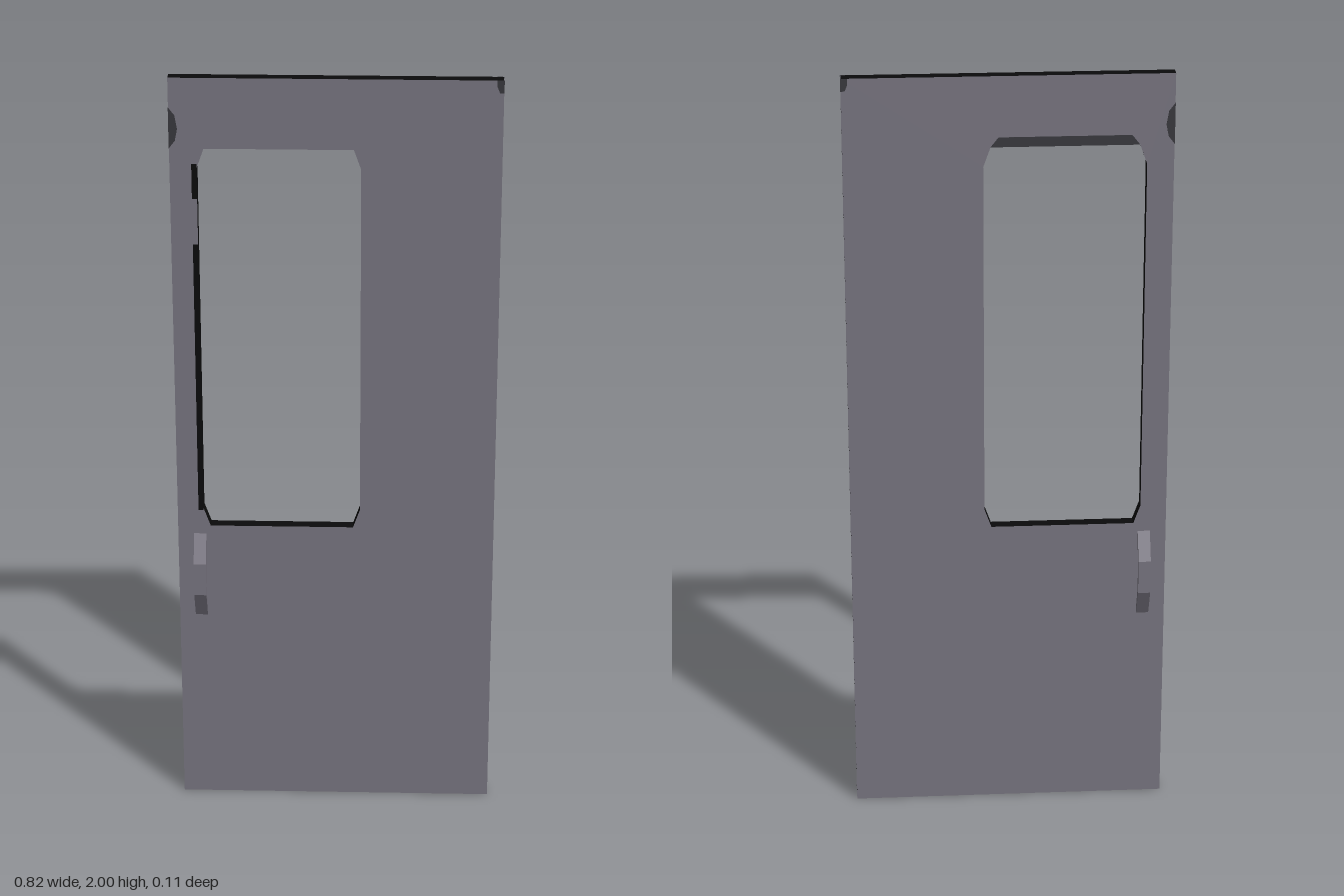
import * as THREE from 'three';

export function createModel() {
  const door = new THREE.Group();
  door.name = 'door';

  const mat = (name, color) => {
    const m = new THREE.MeshStandardMaterial({ color });
    m.name = name;
    return m;
  };
  const grey = mat('panel grey', 0x797681);
  const dark = mat('worn dark grey', 0x39393e);
  const black = mat('edge black', 0x0b0b0c);

  const FRONT = 0.015, BACK = -0.017, SKIN = 0.0008;
  const outline = (pts) => new THREE.Shape(pts.map(([x, y]) => new THREE.Vector2(x, y)));

  // Flat outline extruded between two depths
  const slab = (name, shape, z0, z1, material) => {
    const geo = new THREE.ExtrudeGeometry(shape, { depth: z1 - z0, bevelEnabled: false });
    geo.translate(0, 0, z0);
    const mesh = new THREE.Mesh(geo, material);
    mesh.name = name;
    door.add(mesh);
    return mesh;
  };
  const rect = (x0, x1, y0, y1) => outline([[x0, y0], [x1, y0], [x1, y1], [x0, y1]]);

  // Panel with a chamfered window opening; rim and reveal are black
  const panel = rect(-0.41, 0.409, 0, 2);
  const [l, r, b, t, cx, cy] = [-0.343, 0.063, 0.795, 1.82, 0.018, 0.05];
  panel.holes.push(outline([
    [l + cx, b], [l, b + cy], [l, t - cy], [l + cx, t],
    [r - cx, t], [r, t - cy], [r, b + cy], [r - cx, b],
  ]));
  slab('panel', panel, BACK, FRONT, [grey, black]);

  // Grey facing on the hinge edge
  slab('hingeEdge', rect(0.409, 0.41, 0, 2), -0.005, FRONT, grey);

  // Dark window trim on the front and back faces
  slab('windowTrimLower', rect(-0.356, l, 0.84, 1.57), FRONT, FRONT + SKIN, black);
  slab('windowTrimUpper', rect(-0.356, l, 1.69, 1.78), FRONT, FRONT + SKIN, black);
  slab('windowTrimBack', outline([[l + cx, t], [r - cx, t], [r - cx - 0.02, t + 0.025], [l + cx + 0.02, t + 0.025]]),
    BACK - SKIN, BACK, dark);

  // Worn patches that show on both faces
  const chip = outline([[-0.4105, 1.82], [-0.395, 1.84], [-0.389, 1.87], [-0.395, 1.905], [-0.4105, 1.925]]);
  const corner = outline([[0.393, 2.0], [0.393, 1.985], [0.4, 1.968], [0.4105, 1.968], [0.4105, 2.0]]);
  for (const [name, shape] of [['edgeChip', chip], ['cornerChip', corner]]) {
    slab(name + 'Front', shape, FRONT, FRONT + SKIN, dark);
    slab(name + 'Back', shape, BACK - SKIN, BACK, dark);
  }

  // Bent bar handles: profile in (depth, height), extruded across the width
  const handleShape = outline([
    [0, 0.535], [0.037, 0.61], [0.037, 0.70], [0, 0.772],
    [0, 0.745], [0.023, 0.695], [0.023, 0.615], [0, 0.562],
  ]);
  const handleGeo = new THREE.ExtrudeGeometry(handleShape, { depth: 0.032, bevelEnabled: false });
  handleGeo.translate(0, 0, -0.016);
  for (const [name, z, turn] of [['frontHandle', FRONT, -1], ['backHandle', BACK, 1]]) {
    const handle = new THREE.Mesh(handleGeo, grey);
    handle.name = name;
    handle.position.set(-0.353, 0, z);
    handle.rotation.y = turn * Math.PI / 2;
    door.add(handle);
  }

  return door;
}
